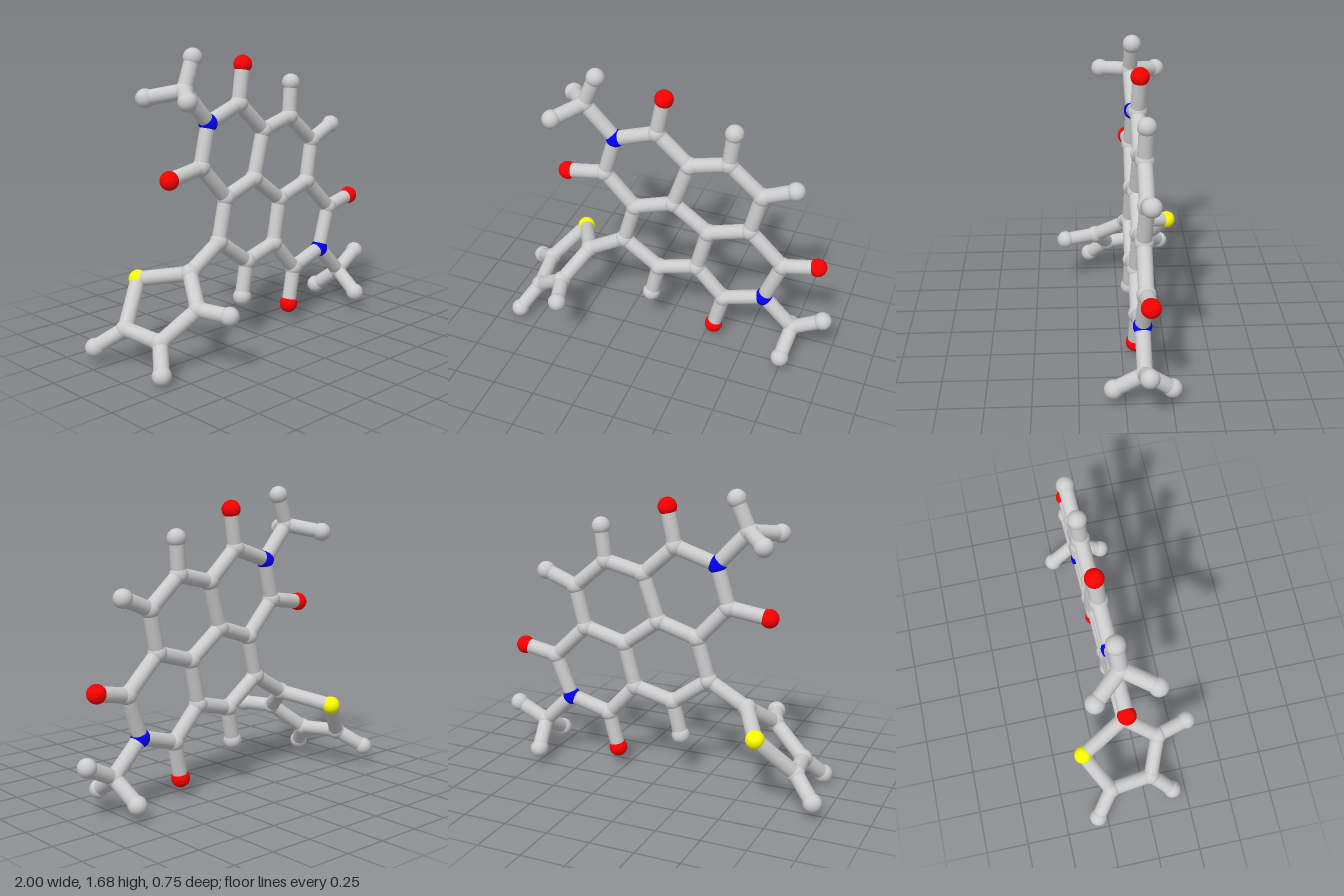
import * as THREE from 'three';

const ATOM_R = 0.052, BOND_R = 0.042;
const COLORS = { C: 0xcccccc, H: 0xcccccc, O: 0xff0000, N: 0x0000ff, S: 0xffff00 };
const NAMES = { C: 'carbonAtom', H: 'hydrogenAtom', O: 'oxygenAtom', N: 'nitrogenAtom', S: 'sulfurAtom' };

// Slightly tilted plane that holds the four fused rings
const planeZ = (x, y) => -0.056 - 0.042 * x - 0.036 * y;

// Atoms: element, x, y and, when off the ring plane, z
const ATOMS = {
  // fused core
  n1: ['N', -0.31, 1.27], c1: ['C', -0.07, 1.35], c2: ['C', 0.12, 1.18],
  c3: ['C', 0.345, 1.235], c4: ['C', 0.54, 1.07], c5: ['C', 0.485, 0.83],
  c6: ['C', 0.685, 0.635], n2: ['N', 0.595, 0.39], c7: ['C', 0.355, 0.32],
  c8: ['C', 0.185, 0.505], c9: ['C', -0.045, 0.445], c10: ['C', -0.26, 0.6],
  c11: ['C', -0.195, 0.84], c12: ['C', -0.375, 1.035],
  c13: ['C', 0.035, 0.915], c14: ['C', 0.245, 0.76],
  // atoms around the core
  o1: ['O', -0.03, 1.565], o2: ['O', 0.885, 0.675], o3: ['O', 0.305, 0.105], o4: ['O', -0.605, 1.0],
  h1: ['H', 0.365, 1.43], h2: ['H', 0.72, 1.145], h3: ['H', -0.09, 0.245],
  // upper methyl
  m1: ['C', -0.485, 1.46, -0.078], m1a: ['H', -0.415, 1.63, -0.087],
  m1b: ['H', -0.605, 1.43, 0.09], m1c: ['H', -0.62, 1.42, -0.235],
  // lower methyl
  m2: ['C', 0.775, 0.21, -0.098], m2a: ['H', 0.948, 0.3, -0.112],
  m2b: ['H', 0.755, 0.105, 0.065], m2c: ['H', 0.737, 0.09, -0.25],
  // five-sided side ring
  t1: ['C', -0.485, 0.47, -0.055], s: ['S', -0.63, 0.41, -0.325], t2: ['C', -0.82, 0.2, -0.2],
  t3: ['C', -0.785, 0.18, 0.05], t4: ['C', -0.59, 0.335, 0.13],
  t2h: ['H', -0.948, 0.1, -0.305], t3h: ['H', -0.872, 0.055, 0.167], t4h: ['H', -0.535, 0.33, 0.317],
};

// Each string is a chain of bonded atoms
const CHAINS = {
  coreBonds: ['n1 c1 c2 c3 c4 c5 c6 n2 c7 c8 c9 c10 c11 c12 n1', 'c2 c13 c11', 'c13 c14 c5', 'c14 c8'],
  oxygenBonds: ['c1 o1', 'c6 o2', 'c7 o3', 'c12 o4'],
  hydrogenBonds: ['c3 h1', 'c4 h2', 'c9 h3'],
  upperMethylBonds: ['n1 m1 m1a', 'm1b m1 m1c'],
  lowerMethylBonds: ['n2 m2 m2a', 'm2b m2 m2c'],
  sideRingBonds: ['c10 t1 s t2 t3 t4 t1', 't2 t2h', 't3 t3h', 't4 t4h'],
};

export function createModel() {
  const model = new THREE.Group();
  model.name = 'molecule';
  const materials = {};
  for (const e in COLORS) materials[e] = new THREE.MeshStandardMaterial({ color: COLORS[e] });

  // Atoms
  const ball = new THREE.SphereGeometry(ATOM_R, 28, 18);
  const atoms = new THREE.Group();
  atoms.name = 'atoms';
  const position = {};
  for (const [id, [element, x, y, z = planeZ(x, y)]] of Object.entries(ATOMS)) {
    const atom = new THREE.Mesh(ball, materials[element]);
    atom.name = NAMES[element];
    atom.position.set(x, y, z);
    position[id] = atom.position;
    atoms.add(atom);
  }
  model.add(atoms);

  // Bonds: one rod between the centres of each neighbouring pair
  const rod = new THREE.CylinderGeometry(BOND_R, BOND_R, 1, 24, 1, true);
  const up = new THREE.Vector3(0, 1, 0);
  for (const [name, chains] of Object.entries(CHAINS)) {
    const group = new THREE.Group();
    group.name = name;
    for (const chain of chains) {
      const ids = chain.split(' ');
      for (let i = 1; i < ids.length; i++) {
        const a = position[ids[i - 1]], b = position[ids[i]];
        const bond = new THREE.Mesh(rod, materials.C);
        bond.name = 'bond';
        bond.position.lerpVectors(a, b, 0.5);
        bond.scale.y = a.distanceTo(b);
        bond.quaternion.setFromUnitVectors(up, b.clone().sub(a).normalize());
        group.add(bond);
      }
    }
    model.add(group);
  }
  return model;
}
